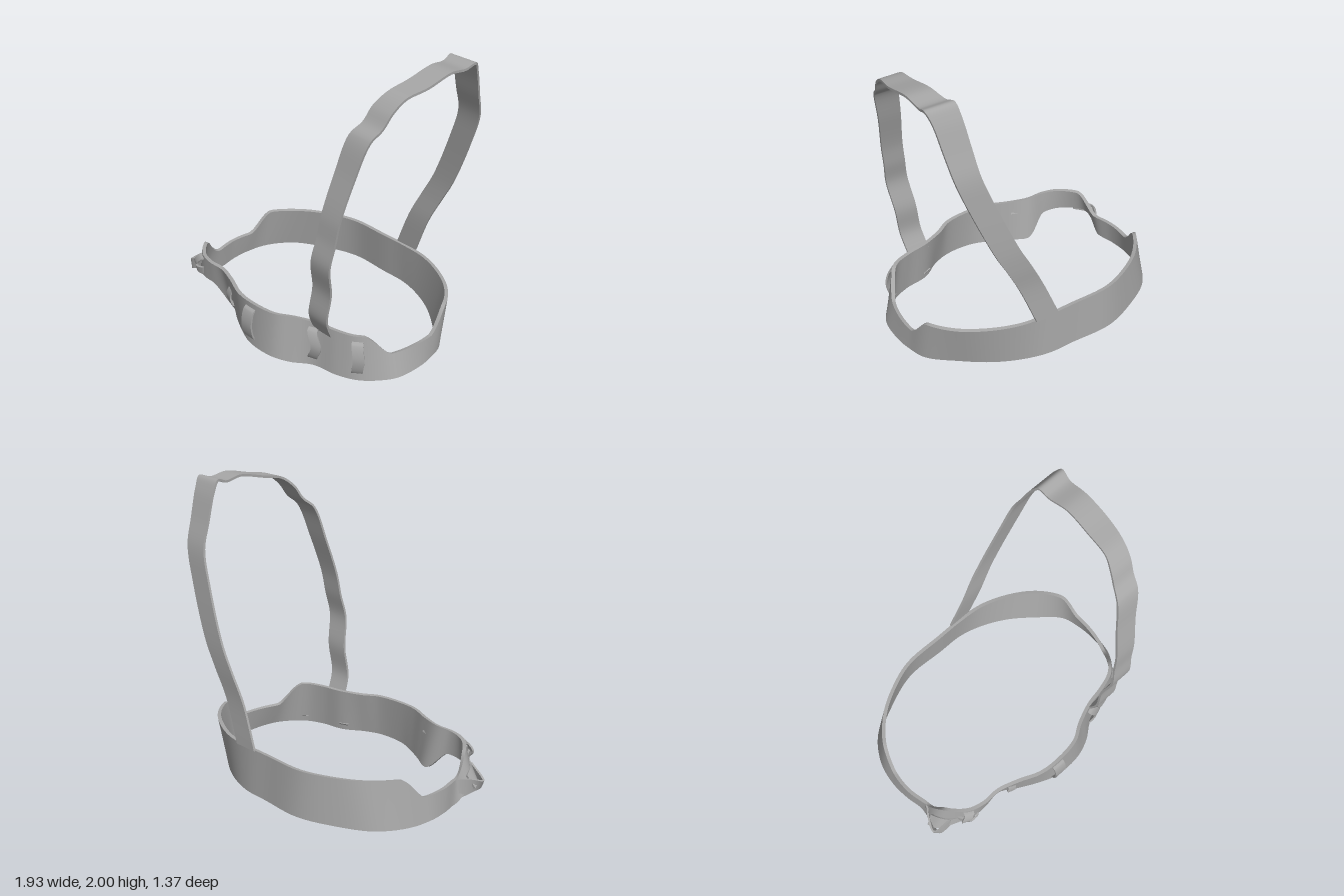
import * as THREE from 'three';

const webbing = new THREE.MeshStandardMaterial({ color: 0xa6a6a6 });
webbing.name = 'grey webbing';

const V = (x, y, z) => new THREE.Vector3(x, y, z);
const smooth = THREE.MathUtils.smoothstep;

// Solid band between two edge curves; its outer face looks along tangent x (b - a)
function band(name, a, b, thick, steps, closed = false, adjust = null) {
  const ca = new THREE.CatmullRomCurve3(a, closed);
  const cb = new THREE.CatmullRomCurve3(b, closed);
  const count = closed ? steps : steps + 1;
  const A = [], B = [], rings = [];
  for (let i = 0; i < count; i++) {
    A.push(ca.getPoint(i / steps));
    B.push(cb.getPoint(i / steps));
    if (adjust) adjust(A[i], B[i]);
  }
  for (let i = 0; i < count; i++) {
    const p = closed ? (i + count - 1) % count : Math.max(i - 1, 0);
    const n = closed ? (i + 1) % count : Math.min(i + 1, count - 1);
    const along = A[n].clone().add(B[n]).sub(A[p]).sub(B[p]);
    const inward = along.cross(B[i].clone().sub(A[i])).normalize().multiplyScalar(-thick);
    rings.push([A[i], B[i], B[i].clone().add(inward), A[i].clone().add(inward)]);
  }
  const pos = [], idx = [];
  // Each of the four sides has its own vertices, so the edges stay sharp
  for (let k = 0; k < 4; k++) {
    const base = pos.length / 3;
    for (const r of rings) pos.push(...r[k].toArray(), ...r[(k + 1) % 4].toArray());
    for (let i = 0; i < steps; i++) {
      const p = base + 2 * i, q = base + 2 * ((i + 1) % count);
      idx.push(p, q, q + 1, p, q + 1, p + 1);
    }
  }
  if (!closed) {
    for (const c of [rings[0], rings[count - 1].slice().reverse()]) {
      const base = pos.length / 3;
      for (const v of c) pos.push(...v.toArray());
      idx.push(base, base + 1, base + 2, base, base + 2, base + 3);
    }
  }
  const geo = new THREE.BufferGeometry();
  geo.setAttribute('position', new THREE.Float32BufferAttribute(pos, 3));
  geo.setIndex(idx);
  geo.computeVertexNormals();
  const mesh = new THREE.Mesh(geo, webbing);
  mesh.name = name;
  return mesh;
}

// Belt: top edge x, z and bottom edge x, z, from the front centre round by the left side
const beltStations = [
  [0, .635, 0, .65], [.2, .61, .2, .65], [.32, .54, .34, .6], [.47, .48, .47, .51],
  [.62, .45, .65, .475], [.75, .4, .79, .41], [.85, .28, .9, .29], [.89, .2, .945, .2],
  [.925, .05, .96, .03], [.93, -.12, .945, -.1], [.9, -.28, .9, -.24], [.78, -.44, .73, -.4],
  [.6, -.56, .56, -.53], [.4, -.635, .38, -.62], [.2, -.655, .2, -.67], [0, -.655, 0, -.675],
  [-.3, -.65, -.3, -.68], [-.5, -.58, -.55, -.595], [-.68, -.47, -.78, -.46], [-.83, -.3, -.9, -.28],
  [-.9, -.12, -.935, -.1], [-.91, .05, -.925, .05], [-.88, .19, -.9, .17], [-.86, .28, -.91, .3],
  [-.81, .38, -.84, .4], [-.7, .48, -.7, .49], [-.58, .515, -.57, .5], [-.45, .515, -.41, .46],
  [-.3, .56, -.28, .53], [-.15, .62, -.14, .6],
];

// The belt is cut low at both sides, and its lower edge is raised near the buckle
function beltHeights(bottom, top) {
  top.y = .16 + .155 * Math.max(smooth(top.z, .2, .38), smooth(-top.z, .11, .29));
  bottom.y = .15 * smooth(bottom.z, .17, .38) * smooth(-bottom.x, .4, .58);
}

// Shoulder strap: z, y, right edge x, left edge x, from the front over the top to the back
const strapRows = [
  [.48, .27, .44, .60], [.54, .42, .46, .62], [.535, .63, .49, .65], [.577, .85, .52, .68],
  [.55, 1.02, .545, .70], [.53, 1.18, .565, .72], [.46, 1.44, .60, .76], [.385, 1.69, .645, .815],
  [.31, 1.76, .68, .84], [.25, 1.85, .70, .86], [.16, 1.92, .73, .88], [0, 1.95, .74, .905],
  [-.2, 1.987, .74, .905], [-.34, 1.97, .72, .90], [-.42, 1.99, .71, .91], [-.47, 1.92, .70, .89],
  [-.54, 1.73, .68, .86], [-.6, 1.56, .66, .83], [-.63, 1.33, .58, .75], [-.66, .97, .43, .60],
  [-.66, .8, .34, .51], [-.65, .6, .24, .41], [-.665, .31, .12, .295],
];

// Small belt loop standing off the belt: place, turn, width, height range, sideways kink
function beltLoop(name, x, z, turn, width, y0, y1, kink, out) {
  const rows = [[0, 0, 0], [.08, 0, .5], [.5, 1, 1], [.92, 0, .5], [1, 0, 0]];
  const edge = s => rows.map(([t, side, o]) =>
    V(s * width / 2 + side * kink, y0 + (y1 - y0) * t, -.02 + o * out));
  const mesh = band(name, edge(1), edge(-1), .012, 16);
  mesh.position.set(x, 0, z);
  mesh.rotation.y = turn;
  return mesh;
}

export function createModel() {
  const model = new THREE.Group();
  model.name = 'beltWithShoulderStrap';

  model.add(band('belt',
    beltStations.map(s => V(s[2], 0, s[3])),
    beltStations.map(s => V(s[0], .3, s[1])), .025, 180, true, beltHeights));

  model.add(band('shoulderStrap',
    strapRows.map(([z, y, , x]) => V(x, y, z)),
    strapRows.map(([z, y, x]) => V(x, y, z)), .016, 132));

  // Loops along the front
  const loops = [
    [0, .655, 0, .095, .035, .28, 0, .045],
    [.46, .505, .35, .07, .035, .28, .04, .06],
    [.775, .415, .65, .075, .035, .28, .012, .045],
    [-.34, .53, -.3, .06, .08, .23, -.01, .035],
    [-.71, .49, -.4, .07, .17, .3, -.03, .055],
  ];
  loops.forEach((l, i) => model.add(beltLoop('beltLoop' + (i + 1), ...l)));

  // Folded buckle tabs at the right front corner
  const buckle = new THREE.Group();
  buckle.name = 'buckle';
  buckle.add(
    band('buckleTab',
      [V(-.89, .02, .2), V(-.93, .05, .31), V(-.93, .06, .41), V(-.82, .12, .43)],
      [V(-.87, .16, .2), V(-.93, .15, .29), V(-.965, .12, .39), V(-.83, .2, .42)], .014, 18),
    band('buckleFold',
      [V(-.955, .09, .31), V(-.93, .1, .37), V(-.86, .12, .42), V(-.76, .16, .47)],
      [V(-.9, .17, .29), V(-.87, .2, .36), V(-.83, .2, .41), V(-.75, .22, .46)], .014, 18),
    band('buckleTongue',
      [V(-.78, .17, .45), V(-.72, .18, .52), V(-.66, .18, .52)],
      [V(-.78, .23, .44), V(-.72, .23, .53), V(-.65, .24, .525)], .014, 12),
  );
  model.add(buckle);

  return model;
}
